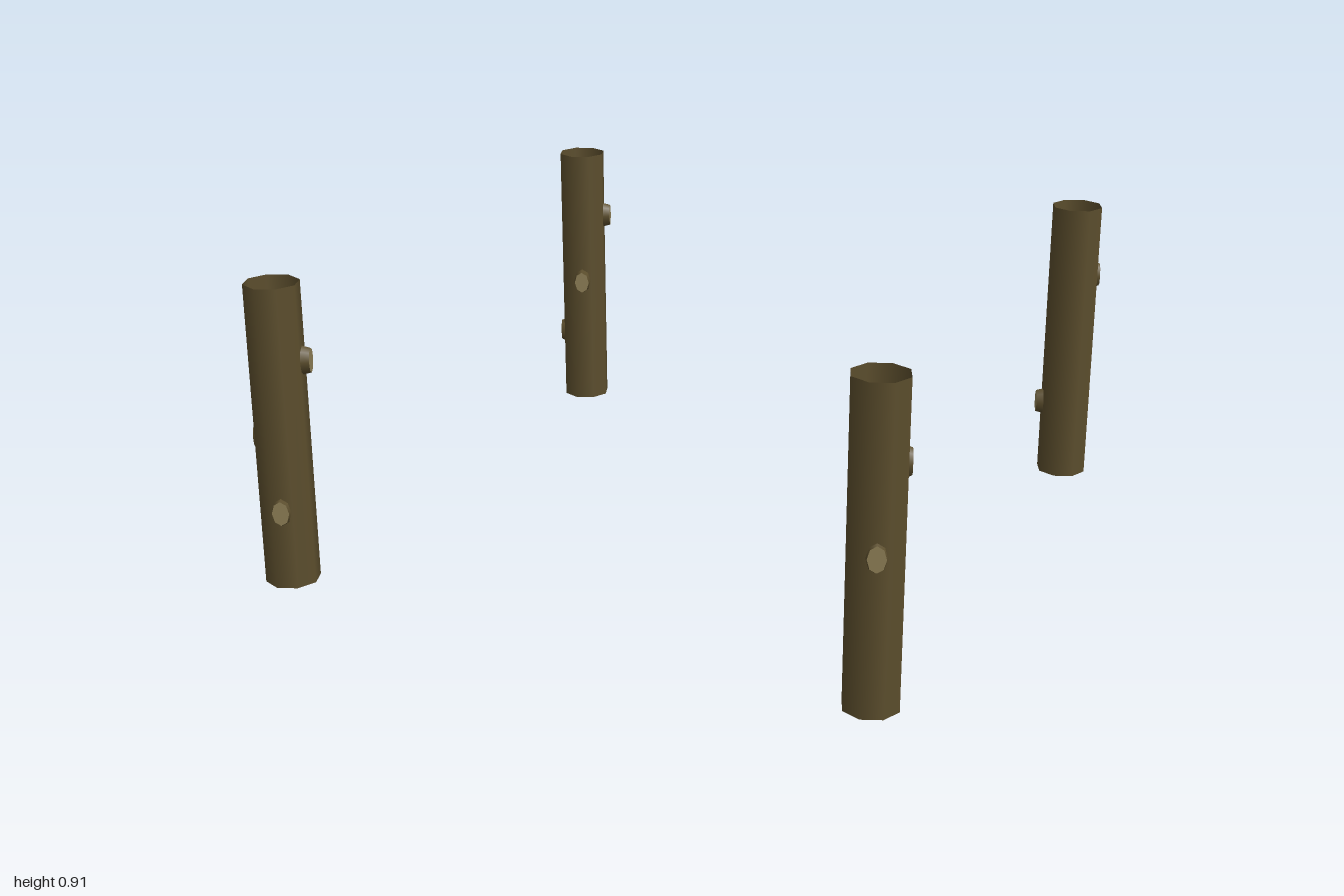
import * as THREE from 'three';

const bark = new THREE.MeshStandardMaterial({ color: 0x5c4e2d, side: THREE.DoubleSide });
const cutWood = new THREE.MeshStandardMaterial({ color: 0x8f8057 });

const HEIGHT = 0.91, RADIUS = 0.08, SPREAD = 0.908;
const APOTHEM = RADIUS * Math.cos(Math.PI / 8);

// Sawn-off branch stub: an oval tapered collar with a pale end, pointing along +z
function createKnot(reach) {
  const knot = new THREE.Group();
  knot.name = 'branchKnot';
  const depth = reach - APOTHEM + 0.01;

  const collar = new THREE.Mesh(new THREE.CylinderGeometry(0.037, 0.046, depth, 8, 1, true), bark);
  collar.name = 'knotCollar';
  collar.rotation.x = Math.PI / 2;
  collar.position.z = reach - depth / 2;

  const end = new THREE.Mesh(new THREE.CircleGeometry(0.037, 8), cutWood);
  end.name = 'knotEnd';
  end.rotation.z = Math.PI / 2;
  end.position.z = reach;

  knot.add(collar, end);
  knot.scale.x = 0.68;
  return knot;
}

// Open eight-sided log with knots given as [height, facet, reach]
function createPost(name, x, z, knots) {
  const post = new THREE.Group();
  post.name = name;
  const log = new THREE.Mesh(new THREE.CylinderGeometry(RADIUS, RADIUS, HEIGHT, 8, 1, true), bark);
  log.name = 'log';
  log.position.y = HEIGHT / 2;
  post.add(log);

  for (const [y, facet, reach] of knots) {
    const knot = createKnot(reach);
    knot.position.y = y;
    knot.rotation.y = (facet + 0.5) * Math.PI / 4;
    post.add(knot);
  }
  post.position.set(x * SPREAD, 0, z * SPREAD);
  return post;
}

export function createModel() {
  const model = new THREE.Group();
  model.name = 'logPosts';
  // Facets count from the front towards +x
  model.add(
    createPost('frontRightPost', -1, 1, [[0.24, 0, 0.086], [0.45, 6, 0.08], [0.68, 2, 0.098]]),
    createPost('frontLeftPost', 1, 1, [[0.24, 4, 0.096], [0.45, 0, 0.083], [0.68, 2, 0.084]]),
    createPost('backRightPost', -1, -1, [[0.24, 6, 0.087], [0.45, 0, 0.098], [0.68, 2, 0.098]]),
    createPost('backLeftPost', 1, -1, [[0.24, 6, 0.096], [0.45, 4, 0.087], [0.68, 2, 0.084]])
  );
  return model;
}
